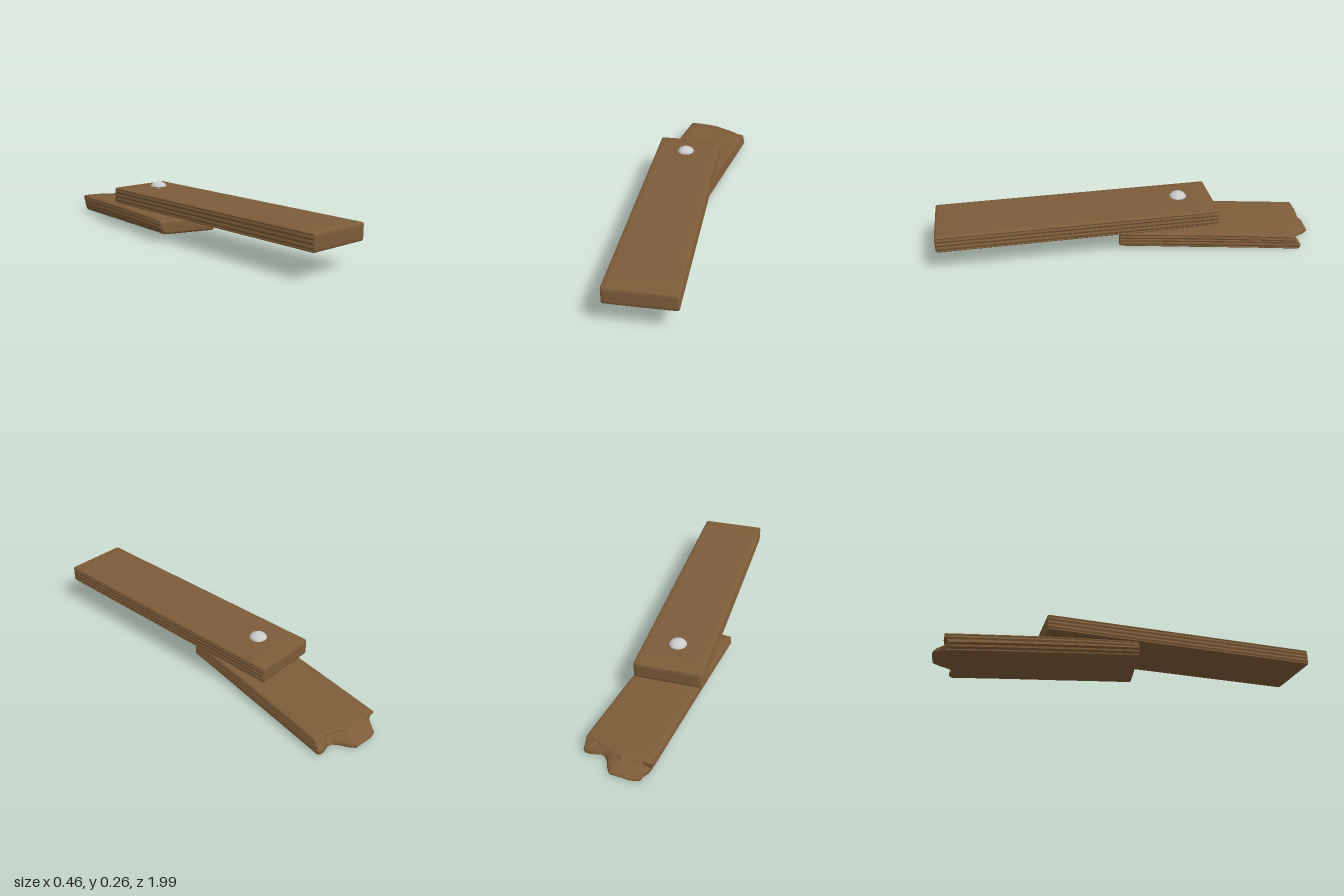
import * as THREE from 'three';
import { toCreasedNormals } from 'three/addons/utils/BufferGeometryUtils.js';

const wood = new THREE.MeshStandardMaterial({ color: 0x7d5c39 });
const steel = new THREE.MeshStandardMaterial({ color: 0xcccccc });

// How far the splintered end reaches out: rows from bottom to top, columns from -x to +x
const BREAK = [
  [0.00, 0.055, 0.07, 0.075, 0.075, 0.075, 0.08, 0.05, 0.00, -0.01, 0.00, 0.01, 0.00],
  [0.00, 0.045, 0.06, 0.07, 0.07, 0.075, 0.075, 0.04, -0.02, -0.03, -0.01, 0.01, 0.01],
  [-0.01, 0.00, -0.02, 0.01, 0.00, 0.02, 0.00, -0.03, -0.05, -0.04, -0.02, 0.00, -0.01],
  [0.01, -0.02, -0.03, -0.02, -0.03, -0.01, -0.02, -0.03, -0.04, -0.03, -0.05, -0.01, -0.02],
  [0.02, 0.025, 0.03, 0.035, 0.035, 0.035, 0.03, 0.02, 0.01, 0.00, -0.01, -0.035, -0.025],
];

function splinter(u, v) {
  const fx = (u * 0.5 + 0.5) * 12, fy = (v * 0.5 + 0.5) * 4;
  const i = Math.max(0, Math.min(11, Math.floor(fx)));
  const j = Math.max(0, Math.min(3, Math.floor(fy)));
  const { lerp } = THREE.MathUtils;
  return lerp(
    lerp(BREAK[j][i], BREAK[j][i + 1], fx - i),
    lerp(BREAK[j + 1][i], BREAK[j + 1][i + 1], fx - i), fy - j);
}

// Rounded, grooved board; warp(p, u, v, t) may bend it further (t: 0 front, 1 back)
function plank(name, w, h, l, r, warp) {
  const segs = [18, 10, 20], half = [w / 2, h / 2, l / 2];
  const box = new THREE.BoxGeometry(2, 2, 2, ...segs);
  const pos = box.attributes.position;
  const p = new THREE.Vector3(), inner = new THREE.Vector3();
  // The two outermost segments on every side fall inside the rounded edge
  const place = (c, k) => {
    const n = segs[k] / 2, step = Math.round(Math.abs(c) * n), flat = half[k] - r;
    const d = step > n - 2 ? flat + r * (step - n + 2) / 2 : flat * step / (n - 2);
    return Math.sign(c) * d;
  };
  for (let i = 0; i < pos.count; i++) {
    p.set(place(pos.getX(i), 0), place(pos.getY(i), 1), place(pos.getZ(i), 2));
    inner.set(...p.toArray().map((c, k) => THREE.MathUtils.clamp(c, r - half[k], half[k] - r)));
    p.sub(inner);
    if (p.lengthSq() > 1e-12) p.setLength(r);
    p.add(inner);
    const u = p.x / half[0], v = p.y / half[1], t = 0.5 - p.z / l;
    // Grain grooves along the long edges
    if (Math.abs(u) > 0.99) {
      const row = Math.round(pos.getY(i) * 5);
      if (row % 2) p.x -= Math.sign(u) * 0.004;
    }
    if (warp) warp(p, u, v, t);
    pos.setXYZ(i, p.x, p.y, p.z);
  }
  const mesh = new THREE.Mesh(toCreasedNormals(box, 0.5), wood);
  mesh.name = name;
  return mesh;
}

export function createModel() {
  const group = new THREE.Group();

  const upper = plank('upperPlank', 0.345, 0.088, 1.455, 0.012);
  upper.position.set(0.004, 0.185, 0.257);
  upper.rotation.y = 0.0745;
  group.add(upper);

  // Sagging, tilted board with a broken back end
  const lower = plank('lowerPlank', 0.345, 0.086, 0.955, 0.014, (p, u, v, t) => {
    p.x *= 0.965 + 0.065 * t;
    p.y *= 0.9 + 0.3 * Math.min(t, 0.4);
    p.y += 0.078 - 0.012 * t - 0.014 * t * t;
    p.y -= u * 0.007 * (v > 0 ? 1 : 1 - t);
    // Worn lower corner on the -x side
    if (u < -0.8 && v < 0) p.x += 0.02 * -v;
    p.z -= splinter(u, v) * Math.max(0, (t - 0.84) / 0.16);
  });
  lower.position.set(-0.0235, 0, -0.446);
  lower.rotation.y = -0.09;
  group.add(lower);

  // Nail: domed head and a shank that leans and narrows below the upper board
  const nail = new THREE.Group();
  nail.name = 'nail';
  const dome = [[0, 0], [0.042, 0], [0.0445, 0.002], [0.0435, 0.006], [0.037, 0.014],
    [0.027, 0.021], [0.014, 0.0255], [0, 0.027]].map(([x, y]) => new THREE.Vector2(x, y));
  const head = new THREE.Mesh(toCreasedNormals(new THREE.LatheGeometry(dome, 32), 0.7), steel);
  head.name = 'nailHead';
  head.position.y = 0.241;
  const shank = new THREE.Mesh(new THREE.CylinderGeometry(0.01, 0.009, 0.1, 16), steel);
  shank.name = 'nailShank';
  shank.position.y = 0.193;
  const tip = new THREE.Mesh(new THREE.CylinderGeometry(0.006, 0.001, 0.07, 12), steel);
  tip.name = 'nailTip';
  tip.position.set(-0.001, 0.122, -0.008);
  tip.rotation.set(0.3, 0, -0.2);
  nail.add(head, shank, tip);
  nail.position.set(-0.04, 0, -0.285);
  group.add(nail);

  return group;
}
